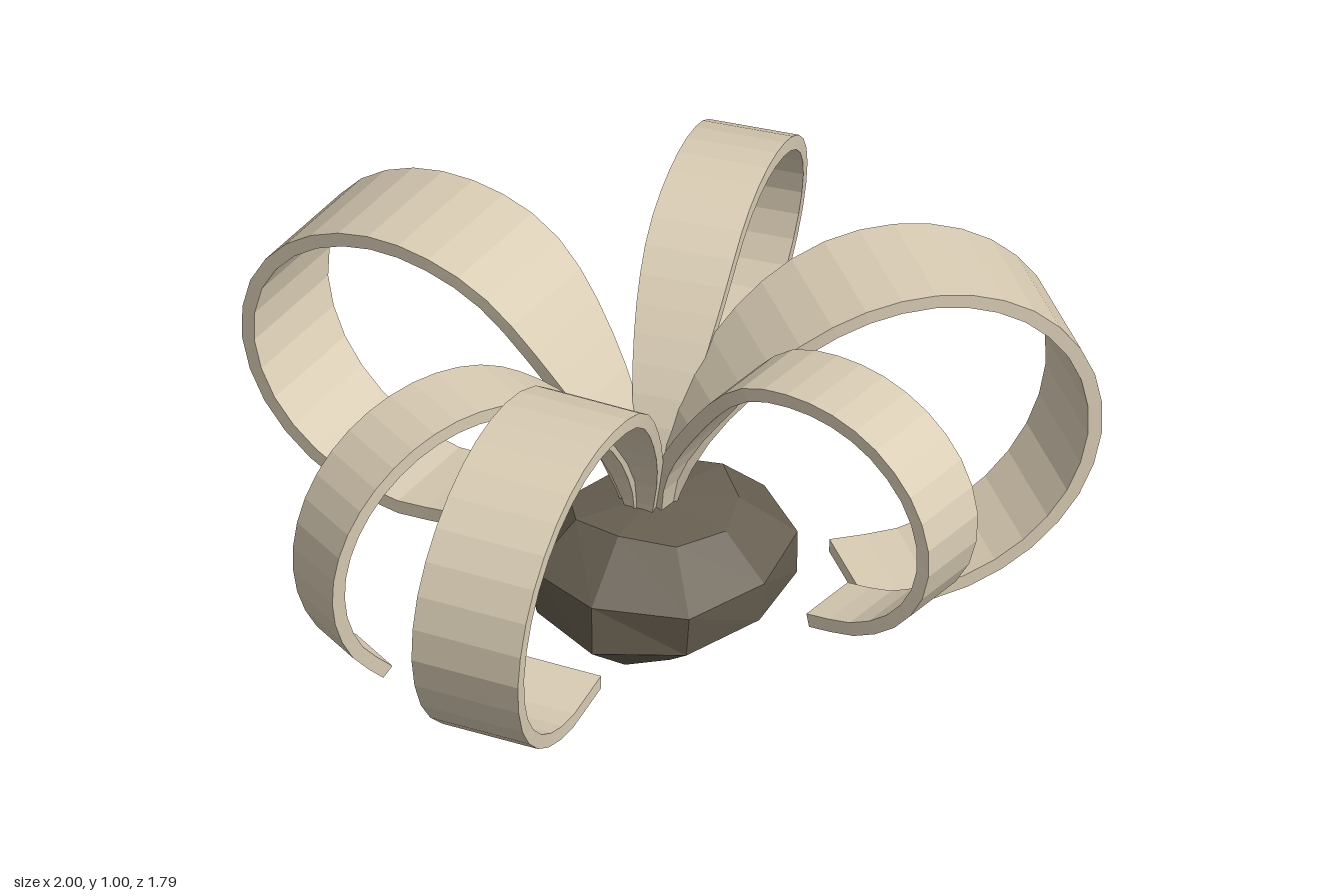
import * as THREE from 'three';

const CENTER = new THREE.Vector3(-0.08, 0, 0.03);
const THICK = 0.035;

// Centre line in the (radius, height) plane: a steep stem, then an elliptical curl.
function curlPath({ rc, yc, a, b, end }) {
  const pts = [new THREE.Vector3(0.03, 0.37, 0), new THREE.Vector3(0.065, 0.52, 0), new THREE.Vector3(0.15, 0.68, 0)];
  const n = 9;
  for (let i = 0; i <= n; i++) {
    const t = THREE.MathUtils.degToRad(125 + (end - 125) * i / n);
    pts.push(new THREE.Vector3(rc + a * Math.cos(t), yc + b * Math.sin(t), 0));
  }
  return new THREE.CatmullRomCurve3(pts, false, 'centripetal');
}

// Width along the leaf: narrow root, broad middle, slightly narrower tip.
function widthAt(t) {
  const rise = 0.16 + 0.84 * Math.sin(Math.min(t / 0.36, 1) * Math.PI / 2);
  return rise * (1 - 0.2 * THREE.MathUtils.smoothstep(t, 0.6, 1));
}

// Flat ribbon with rectangular sections along the curl
function leafGeometry(leaf) {
  const path = curlPath(leaf), N = 28, pos = [], idx = [];
  for (let i = 0; i <= N; i++) {
    const t = i / N, p = path.getPointAt(t), d = path.getTangentAt(t);
    const w = leaf.width * widthAt(t) / 2, h = THICK / 2;
    const z = leaf.drift * THREE.MathUtils.smoothstep(t, 0.5, 1);
    for (const [s, side] of [[1, -1], [1, 1], [-1, 1], [-1, -1]])
      pos.push(p.x - d.y * h * s, p.y + d.x * h * s, z + side * w);
  }
  for (let i = 0; i < N; i++)
    for (let j = 0; j < 4; j++) {
      const a = i * 4 + j, b = i * 4 + (j + 1) % 4;
      idx.push(a, b, a + 4, b, b + 4, a + 4);
    }
  const e = N * 4;
  idx.push(0, 3, 2, 0, 2, 1, e, e + 2, e + 3, e, e + 1, e + 2);
  const g = new THREE.BufferGeometry();
  g.setAttribute('position', new THREE.Float32BufferAttribute(pos, 3));
  g.setIndex(idx);
  g.computeVertexNormals();
  return g;
}

// Faceted bulb, slightly irregular around its axis
function bulbGeometry() {
  const profile = [[0, 0], [0.15, 0.05], [0.31, 0.17], [0.325, 0.29], [0.2, 0.41], [0, 0.43]]
    .map(([r, y]) => new THREE.Vector2(r, y));
  const g = new THREE.LatheGeometry(profile, 9);
  const p = g.attributes.position;
  for (let i = 0; i < p.count; i++) {
    const x = p.getX(i), y = p.getY(i), z = p.getZ(i);
    const ang = Math.atan2(z, x), r = Math.hypot(x, z);
    const k = 1 + 0.05 * Math.sin(3 * ang + y * 9);
    const lift = r > 0.01 ? 0.015 * Math.sin(2 * ang + y * 7) : 0;
    p.setXYZ(i, x * k * 1.03, y + lift, z * k * 0.88);
  }
  g.computeVertexNormals();
  return g;
}

export function createModel() {
  const group = new THREE.Group();
  const leafMat = new THREE.MeshStandardMaterial({ color: 0xd9ccb4, flatShading: true });
  const bulbMat = new THREE.MeshStandardMaterial({ color: 0x665e50, flatShading: true });

  const bulb = new THREE.Mesh(bulbGeometry(), bulbMat);
  bulb.name = 'bulb';
  bulb.position.set(-0.065, 0, 0.04);
  group.add(bulb);

  // Direction (dx, dz), curl ellipse, end angle in degrees, width and sideways drift
  const leaves = [
    { name: 'leftLeaf', dx: 1.065, dz: -0.075, rc: 0.6, yc: 0.505, a: 0.455, b: 0.43, end: -104, width: 0.31, drift: 0 },
    { name: 'frontLeftLeaf', dx: 0.56, dz: 0.72, rc: 0.54, yc: 0.67, a: 0.355, b: 0.29, end: -86, width: 0.2, drift: 0.05 },
    { name: 'backLeftLeaf', dx: 0.535, dz: -0.855, rc: 0.59, yc: 0.625, a: 0.4, b: 0.345, end: -70, width: 0.22, drift: -0.05 },
    { name: 'frontRightLeaf', dx: -0.65, dz: 0.78, rc: 0.57, yc: 0.58, a: 0.43, b: 0.375, end: -104, width: 0.28, drift: 0.02 },
    { name: 'backRightLeaf', dx: -0.69, dz: -0.78, rc: 0.6, yc: 0.615, a: 0.42, b: 0.37, end: -112, width: 0.32, drift: -0.02 },
    { name: 'rightLeaf', dx: -0.895, dz: 0.295, rc: 0.55, yc: 0.55, a: 0.375, b: 0.36, end: -52, width: 0.19, drift: 0 },
  ];
  for (const leaf of leaves) {
    const mesh = new THREE.Mesh(leafGeometry(leaf), leafMat);
    mesh.name = leaf.name;
    mesh.position.copy(CENTER);
    mesh.rotation.y = Math.atan2(-leaf.dz, leaf.dx);
    group.add(mesh);
  }
  return group;
}
